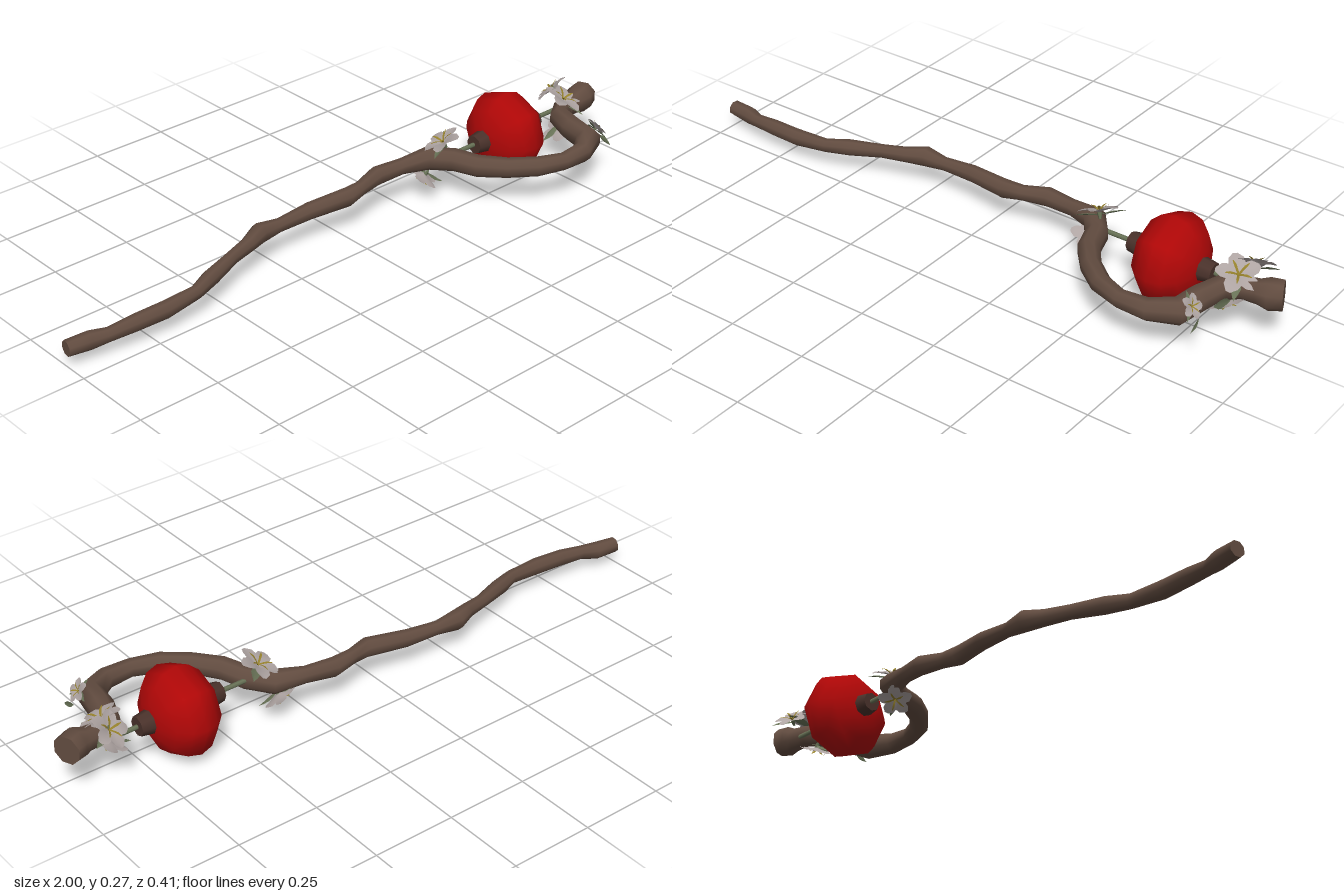
import * as THREE from 'three';

const mat = (name, color, side = THREE.FrontSide) => {
  const m = new THREE.MeshStandardMaterial({ color, side });
  m.name = name;
  return m;
};

// Staff path: x, y, z, radius
const PATH = [
  [-1, 0.056, -0.075, 0.024], [-0.93, 0.056, -0.066, 0.027], [-0.88, 0.06, -0.05, 0.021],
  [-0.8, 0.066, -0.042, 0.025], [-0.7, 0.069, -0.036, 0.026], [-0.59, 0.075, -0.043, 0.021],
  [-0.52, 0.08, -0.07, 0.025], [-0.42, 0.086, -0.105, 0.021], [-0.34, 0.092, -0.125, 0.024],
  [-0.28, 0.096, -0.148, 0.031], [-0.21, 0.096, -0.146, 0.021], [-0.1, 0.103, -0.142, 0.026],
  [0.03, 0.112, -0.118, 0.029], [0.09, 0.113, -0.13, 0.023], [0.17, 0.119, -0.148, 0.029],
  [0.26, 0.124, -0.135, 0.025], [0.35, 0.128, -0.115, 0.036], [0.4, 0.13, -0.05, 0.035],
  [0.425, 0.13, 0.025, 0.034], [0.48, 0.132, 0.095, 0.031], [0.55, 0.134, 0.152, 0.03],
  [0.63, 0.134, 0.181, 0.027], [0.715, 0.134, 0.178, 0.032], [0.785, 0.136, 0.14, 0.04],
  [0.8, 0.139, 0.06, 0.039], [0.825, 0.143, -0.015, 0.035], [0.87, 0.147, -0.045, 0.033],
  [0.92, 0.15, -0.05, 0.036], [0.95, 0.153, -0.053, 0.046], [0.985, 0.154, -0.068, 0.043],
];

// Smooth tube of varying radius with flat end caps
function branchGeometry(path, sides) {
  const pts = path.map(p => new THREE.Vector3(p[0], p[1], p[2]));
  const n = pts.length, pos = [], idx = [];
  const up = new THREE.Vector3(0, 1, 0);
  const ring = i => {
    const t = pts[Math.min(i + 1, n - 1)].clone().sub(pts[Math.max(i - 1, 0)]).normalize();
    const side = t.clone().cross(up).normalize();
    const drop = t.clone().cross(side);
    for (let k = 0; k < sides; k++) {
      const a = (k + 0.5) / sides * Math.PI * 2;
      const v = pts[i].clone().addScaledVector(side, Math.cos(a) * path[i][3])
        .addScaledVector(drop, Math.sin(a) * path[i][3]);
      pos.push(v.x, v.y, v.z);
    }
  };
  for (let i = 0; i < n; i++) ring(i);
  for (let i = 0; i < n - 1; i++) for (let k = 0; k < sides; k++) {
    const a = i * sides + k, b = i * sides + (k + 1) % sides;
    idx.push(a, b, a + sides, b, b + sides, a + sides);
  }
  for (const i of [0, n - 1]) {
    const base = pos.length / 3;
    ring(i);
    for (let k = 1; k < sides - 1; k++) {
      if (i) idx.push(base, base + k, base + k + 1);
      else idx.push(base, base + k + 1, base + k);
    }
  }
  const g = new THREE.BufferGeometry();
  g.setAttribute('position', new THREE.Float32BufferAttribute(pos, 3));
  g.setIndex(idx);
  g.computeVertexNormals();
  return g;
}

// Creased blade along +z, facing +y; widths taper along its length
function bladeGeometry(length, widths, rise, crease) {
  const pos = [], idx = [], n = widths.length;
  widths.forEach((w, i) => {
    const t = i / (n - 1), y = rise * Math.sin(t * 2.4), z = t * length;
    pos.push(-w, y, z, 0, y - crease * Math.sin(t * Math.PI), z, w, y, z);
    if (i < n - 1) for (let k = 0; k < 2; k++) {
      const a = i * 3 + k;
      idx.push(a, a + 3, a + 1, a + 1, a + 3, a + 4);
    }
  });
  const g = new THREE.BufferGeometry();
  g.setAttribute('position', new THREE.Float32BufferAttribute(pos, 3));
  g.setIndex(idx);
  g.computeVertexNormals();
  return g;
}

export function createModel() {
  const root = new THREE.Group();
  root.name = 'flowerStaff';
  const wood = mat('brown wood', 0x624c40);
  const darkWood = mat('dark calyx brown', 0x4a322b);
  const red = mat('red orb', 0xb00707);
  const white = mat('pale petal', 0xaea4a2, THREE.DoubleSide);
  const yellow = mat('yellow stamen', 0x94802c, THREE.DoubleSide);
  const green = mat('leaf green', 0x697357, THREE.DoubleSide);

  const add = (parent, name, geo, material, x = 0, y = 0, z = 0) => {
    const m = new THREE.Mesh(geo, material);
    m.name = name;
    m.position.set(x, y, z);
    parent.add(m);
    return m;
  };

  add(root, 'staff', branchGeometry(PATH, 8), wood);

  // Orb with its poles along x
  const orb = add(root, 'orb', new THREE.SphereGeometry(0.137, 8, 8), red, 0.636, 0.135, -0.071);
  orb.scale.set(1, 0.74, 1);
  orb.rotation.set(0.04, 0, -Math.PI / 2, 'XYZ');

  // Calyx and stem on both sides of the orb
  for (const s of [-1, 1]) {
    const calyx = add(root, 'calyx', new THREE.CylinderGeometry(0.029, 0.036, 0.045, 8), darkWood,
      0.636 + s * 0.112, 0.137, -0.071);
    calyx.rotation.z = -s * Math.PI / 2;
    const stem = add(root, 'stem', new THREE.CylinderGeometry(0.007, 0.007, 0.12, 6), green,
      0.636 + s * 0.175, 0.137, -0.072);
    stem.rotation.z = Math.PI / 2;
  }

  // Blossoms: unit size, opening toward +y
  const petal = bladeGeometry(1, [0.07, 0.22, 0.36, 0.33, 0.1], 0.2, 0.07);
  const leaf = bladeGeometry(1.25, [0.03, 0.18, 0.22, 0.13, 0], 0.1, 0.06);
  const stamen = bladeGeometry(0.66, [0.05, 0.05, 0.06, 0.02], 0.12, 0.01);
  const yAxis = new THREE.Vector3(0, 1, 0);

  function flower(name, at, normal, size, spin, leaves) {
    const f = new THREE.Group();
    f.name = name;
    f.position.set(...at);
    f.quaternion.setFromUnitVectors(yAxis, new THREE.Vector3(...normal).normalize());
    f.scale.setScalar(size);
    for (let i = 0; i < 5; i++) {
      const a = spin + i * Math.PI * 0.4;
      add(f, 'petal', petal, white).rotation.y = a;
      add(f, 'stamen', stamen, yellow, 0, 0.03, 0).rotation.set(-0.35, a + 0.3, 0, 'YXZ');
    }
    add(f, 'flowerBase', new THREE.CylinderGeometry(0.13, 0.06, 0.3, 6), green, 0, -0.16, 0);
    for (const a of leaves) add(f, 'leaf', leaf, green, 0, -0.12, 0).rotation.y = a;
    root.add(f);
  }
  flower('loopStartFlower', [0.385, 0.18, -0.085], [-0.35, 0.85, -0.3], 0.062, 0.3, [-1.2, 2.4]);
  flower('loopStartUndersideFlower', [0.335, 0.08, -0.11], [-0.4, -0.8, -0.4], 0.052, 0.8, [0.9, 3.6]);
  flower('crownFlower', [0.86, 0.183, -0.04], [0.25, 0.85, 0.35], 0.064, 0.1, [0.4, 2.9]);
  flower('crownUndersideFlower', [0.835, 0.102, -0.03], [0.45, -0.85, 0.1], 0.058, 0.5, [1.2, 4.2]);
  flower('crownBackFlower', [0.875, 0.188, -0.1], [-0.3, 0.72, -0.6], 0.058, 0.9, [2.2]);
  flower('smallSideFlower', [0.822, 0.163, 0.135], [0.8, 0.58, 0.1], 0.036, 0.2, [0.6, 2.8, 4.4]);

  // Loose leaves lying on the outer side of the loop
  for (const [y, z, turn, len] of [[0.128, 0.055, 2.9, 0.07], [0.15, 0.01, 2.6, 0.05], [0.13, 0.13, 0.4, 0.04]]) {
    const l = add(root, 'looseLeaf', leaf, green, 0.845, y, z);
    l.scale.setScalar(len);
    l.rotation.set(0, turn, -Math.PI / 2, 'ZYX');
  }
  return root;
}
